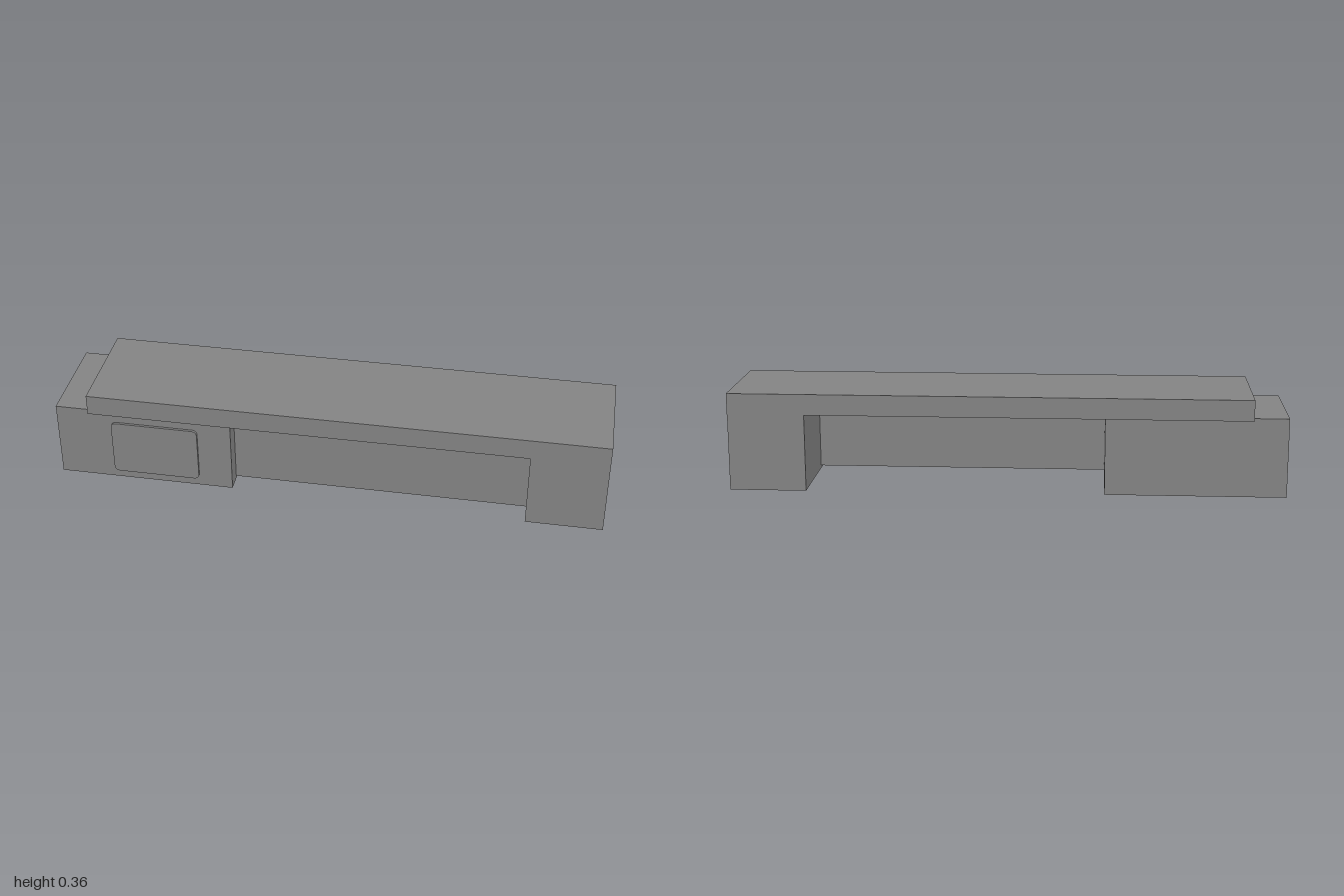
import * as THREE from 'three';

const material = new THREE.MeshStandardMaterial({ color: 0x868686, flatShading: true });

// Box given by its lower and upper limits on each axis
function box(name, [x0, x1], [y0, y1], [z0, z1]) {
  const mesh = new THREE.Mesh(new THREE.BoxGeometry(x1 - x0, y1 - y0, z1 - z0), material);
  mesh.position.set((x0 + x1) / 2, (y0 + y1) / 2, (z0 + z1) / 2);
  mesh.name = name;
  return mesh;
}

// Raised plate with rounded corners, facing +z
function roundedPlate(name, [x0, x1], [y0, y1], [z0, z1], r) {
  const s = new THREE.Shape();
  s.absarc(x1 - r, y1 - r, r, 0, Math.PI / 2);
  s.absarc(x0 + r, y1 - r, r, Math.PI / 2, Math.PI);
  s.absarc(x0 + r, y0 + r, r, Math.PI, Math.PI * 1.5);
  s.absarc(x1 - r, y0 + r, r, Math.PI * 1.5, Math.PI * 2);
  const geometry = new THREE.ExtrudeGeometry(s, { depth: z1 - z0, bevelEnabled: false, curveSegments: 4 });
  const mesh = new THREE.Mesh(geometry, material);
  mesh.position.z = z0;
  mesh.name = name;
  return mesh;
}

export function createModel() {
  const desk = new THREE.Group();
  desk.name = 'desk';
  desk.add(
    // Top slab, set in from the cabinet's outer end
    box('desktop', [-0.875, 1], [0.281, 0.357], [-0.201, 0.201]),
    // Low cabinet carrying one end
    box('cabinet', [-1, -0.352], [0, 0.288], [-0.185, 0.184]),
    // Solid block leg at the other end, flush with the slab's end
    box('leg', [0.723, 1], [0, 0.281], [-0.198, 0.198]),
    // Thin panel closing the front of the knee space
    box('modestyPanel', [-0.352, 0.723], [0.01, 0.281], [0.112, 0.122]),
    // Raised door on the cabinet front
    roundedPlate('cabinetDoor', [-0.795, -0.475], [0.032, 0.243], [0.18, 0.193], 0.018),
  );
  return desk;
}
